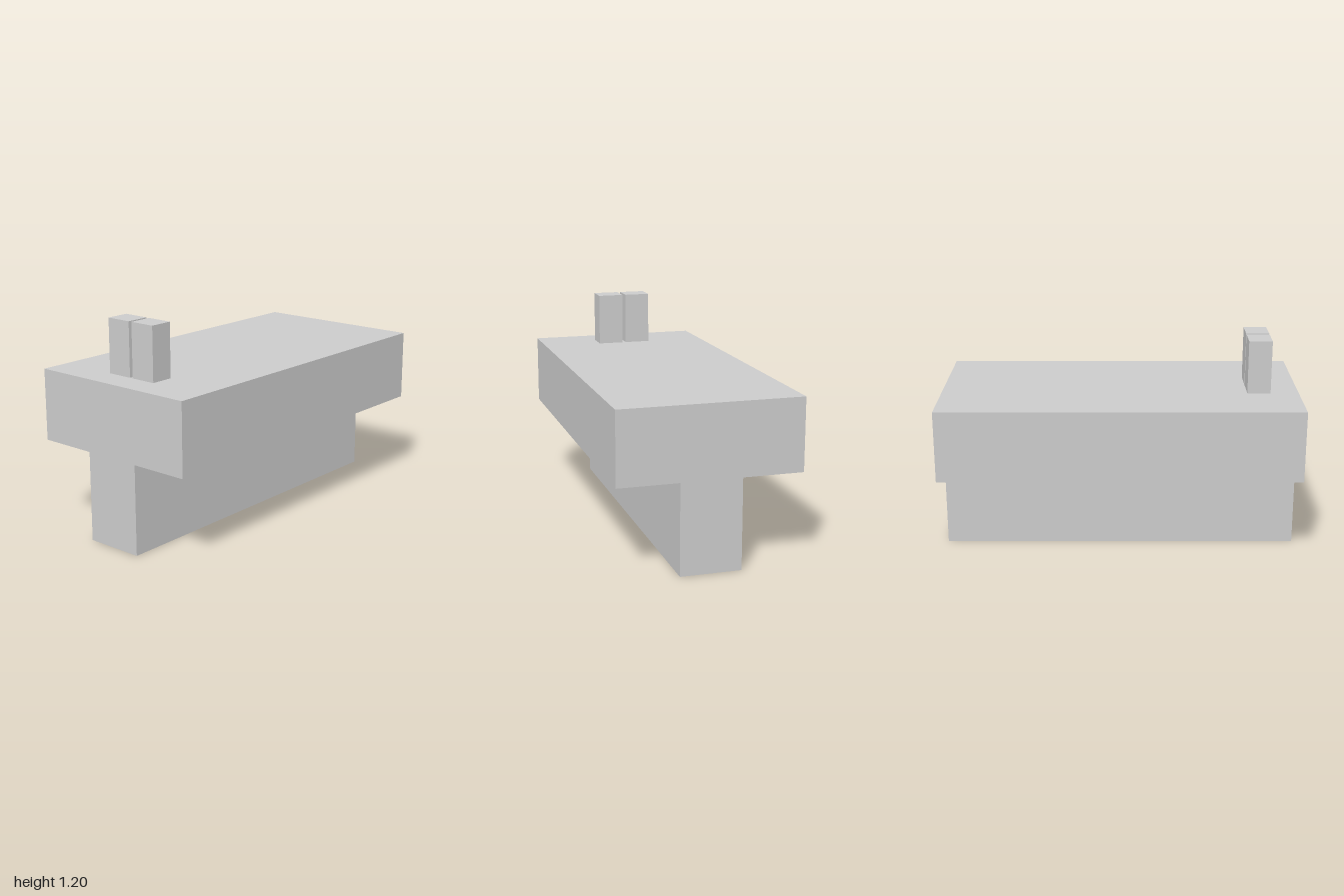
import * as THREE from 'three';

const material = new THREE.MeshStandardMaterial({ color: 0xcccccc, flatShading: true });

// Box given by its size, centre and underside height
function block(name, [w, h, d], x, bottom, z) {
  const mesh = new THREE.Mesh(new THREE.BoxGeometry(w, h, d), material);
  mesh.name = name;
  mesh.position.set(x, bottom + h / 2, z);
  return mesh;
}

export function createModel() {
  const model = new THREE.Group();
  model.name = 'tBeamWithPosts';

  // T-shaped section, drawn in (z, y) and run along x
  const flange = 0.5, stem = 0.167, step = 0.5, top = 0.9;
  const section = new THREE.Shape([
    [-stem, 0], [stem, 0], [stem, step], [flange, step],
    [flange, top], [-flange, top], [-flange, step], [-stem, step],
  ].map(([z, y]) => new THREE.Vector2(z, y)));
  const geometry = new THREE.ExtrudeGeometry(section, { depth: 2, bevelEnabled: false });
  geometry.translate(0, 0, -1).rotateY(-Math.PI / 2);
  const beam = new THREE.Mesh(geometry, material);
  beam.name = 'beam';
  model.add(beam);

  // Pair of posts with a narrow slot between them
  for (const [name, side] of [['frontPost', 1], ['backPost', -1]]) {
    model.add(block(name, [0.13, 0.3, 0.148], -0.777, top, side * 0.084));
  }
  return model;
}
